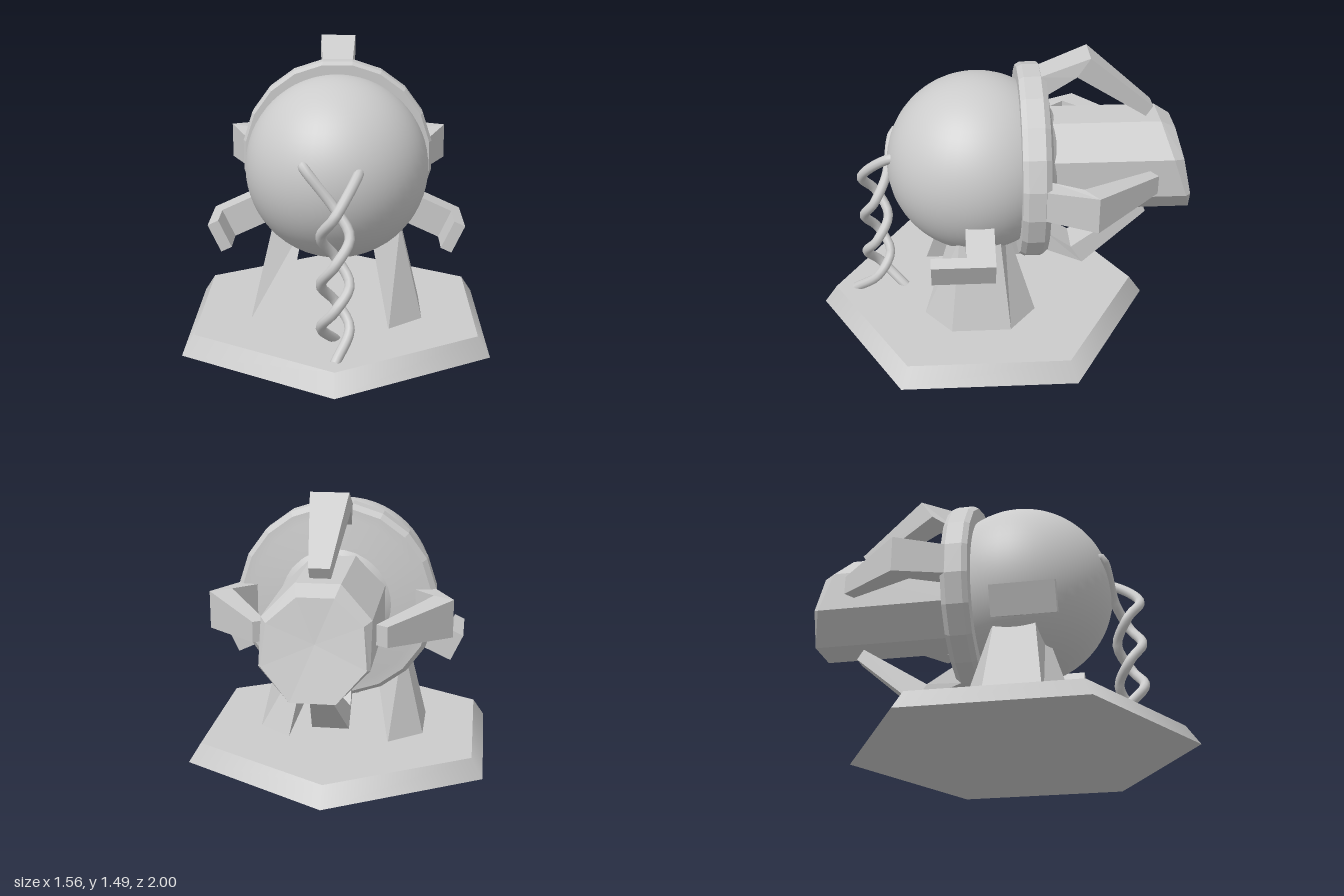
import * as THREE from 'three';
import { toCreasedNormals } from 'three/addons/utils/BufferGeometryUtils.js';

const CENTRE_Y = 0.885, BODY_Z = 0.13;

// Flat-sided solid through closed rings; each ring runs right-handed around the loft direction.
function loft(rings) {
  const pos = [], n = rings[0].length, last = rings[rings.length - 1];
  const tri = (a, b, c) => pos.push(...a, ...b, ...c);
  for (let i = 0; i < rings.length - 1; i++) {
    for (let j = 0; j < n; j++) {
      const k = (j + 1) % n, p = rings[i], q = rings[i + 1];
      tri(p[j], p[k], q[k]);
      tri(p[j], q[k], q[j]);
    }
  }
  for (let j = 1; j < n - 1; j++) {
    tri(rings[0][0], rings[0][j + 1], rings[0][j]);
    tri(last[0], last[j], last[j + 1]);
  }
  const g = new THREE.BufferGeometry();
  g.setAttribute('position', new THREE.Float32BufferAttribute(pos, 3));
  g.computeVertexNormals();
  return g;
}

export function createModel() {
  const model = new THREE.Group();
  const grey = new THREE.MeshStandardMaterial({ color: 0xcccccc });
  const add = (name, geometry, x = 0, y = 0, z = 0, parent = model) => {
    const mesh = new THREE.Mesh(geometry, grey);
    mesh.name = name;
    mesh.position.set(x, y, z);
    parent.add(mesh);
    return mesh;
  };

  // Hexagonal base and spherical body
  add('base', new THREE.CylinderGeometry(0.83, 0.9, 0.1, 6), 0, 0.05, 0.1);
  add('body', new THREE.SphereGeometry(0.475, 48, 32), 0, CENTRE_Y, BODY_Z);

  // Chamfered ring with a raised collar behind the body
  const profile = [[0, -0.25], [0.31, -0.25], [0.44, -0.225], [0.49, -0.222], [0.515, -0.193],
    [0.515, -0.107], [0.5, -0.08], [0.4, -0.08]].map(([r, z]) => new THREE.Vector2(r, z));
  const ring = new THREE.LatheGeometry(profile, 20, Math.PI / 20).rotateX(Math.PI / 2);
  add('ring', toCreasedNormals(ring, 0.2), 0, CENTRE_Y, 0);

  // Octagonal barrel: slanted rim, bevel that is widest at the top, shallow dish
  const octagon = Array.from({ length: 8 }, (_, j) => {
    const a = (j + 0.5) * Math.PI / 4;
    return [0.276 * Math.sin(a), 0.276 * Math.cos(a)];
  });
  const rimZ = y => -0.815 - 0.36 * (0.255 - y);
  const lift = y => (y + 0.255) / 0.51;
  add('barrel', loft([
    octagon.map(([x, y]) => [x, y, -0.2]),
    octagon.map(([x, y]) => [x, y, rimZ(y)]),
    octagon.map(([x, y]) => {
      const s = 1 - 0.18 * lift(y);
      return [x * s, y * s, rimZ(y) - 0.08 * lift(y)];
    }),
    octagon.map(() => [0, 0, -0.925]),
  ]), 0, CENTRE_Y, 0);

  // Four bent claws; sections are [half width, outer r, outer z, inner r, inner z]
  const clawSections = [
    [0.08, 0.505, -0.15, 0.4, -0.15],
    [0.081, 0.505, -0.19, 0.4, -0.22],
    [0.095, 0.605, -0.44, 0.505, -0.375],
    [0.05, 0.315, -0.78, 0.26, -0.745],
  ];
  const claw = loft(clawSections.map(([w, ro, zo, ri, zi]) =>
    [[-w, ro, zo], [w, ro, zo], [w, ri, zi], [-w, ri, zi]]));
  for (let k = 0; k < 4; k++) add('claw', claw, 0, CENTRE_Y, 0).rotation.z = k * Math.PI / 2;

  // Two tapered legs with a trapezoid footprint
  const legRing = (y, inX, inZ, outX, outZ) =>
    [[inX, y, inZ], [outX, y, outZ], [outX, y, -outZ], [inX, y, -inZ]];
  const leg = loft([legRing(0.09, 0.27, 0.3, 0.45, 0.157), legRing(0.6, 0.17, 0.135, 0.33, 0.105)]);
  add('leftLeg', leg, 0, 0, BODY_Z);
  add('rightLeg', leg, 0, 0, BODY_Z).rotation.y = Math.PI;

  // L-shaped side arms sloping outward
  for (const s of [1, -1]) {
    const arm = new THREE.Group();
    arm.name = s > 0 ? 'leftArm' : 'rightArm';
    arm.position.set(s * 0.6175, 0.57, 0);
    arm.rotation.z = -s * 0.435;
    add('armBar', new THREE.BoxGeometry(0.3, 0.155, 0.145), -s * 0.15, 0, 0.1325, arm);
    add('armHook', new THREE.BoxGeometry(0.06, 0.155, 0.175), -s * 0.03, 0, 0.2925, arm);
    model.add(arm);
  }

  // Two cables twisted around each other from the body to the base
  const cable = (s, start) => {
    const points = [[start[0], start[1], 0.5], start];
    [0.8, 0.68, 0.56, 0.44, 0.33, 0.22].forEach((y, i) => {
      const a = i * Math.PI / 2;
      points.push([-s * 0.07 * Math.sin(a), y, 0.68 + s * 0.065 * Math.cos(a)]);
    });
    points.push([0, 0.09, 0.68 - s * 0.14]);
    const path = new THREE.CatmullRomCurve3(points.map(p => new THREE.Vector3(...p)), false, 'centripetal');
    add('cable', new THREE.TubeGeometry(path, 40, 0.026, 10));
  };
  cable(1, [0.11, 0.965, 0.58]);
  cable(-1, [-0.155, 0.995, 0.565]);

  return model;
}
